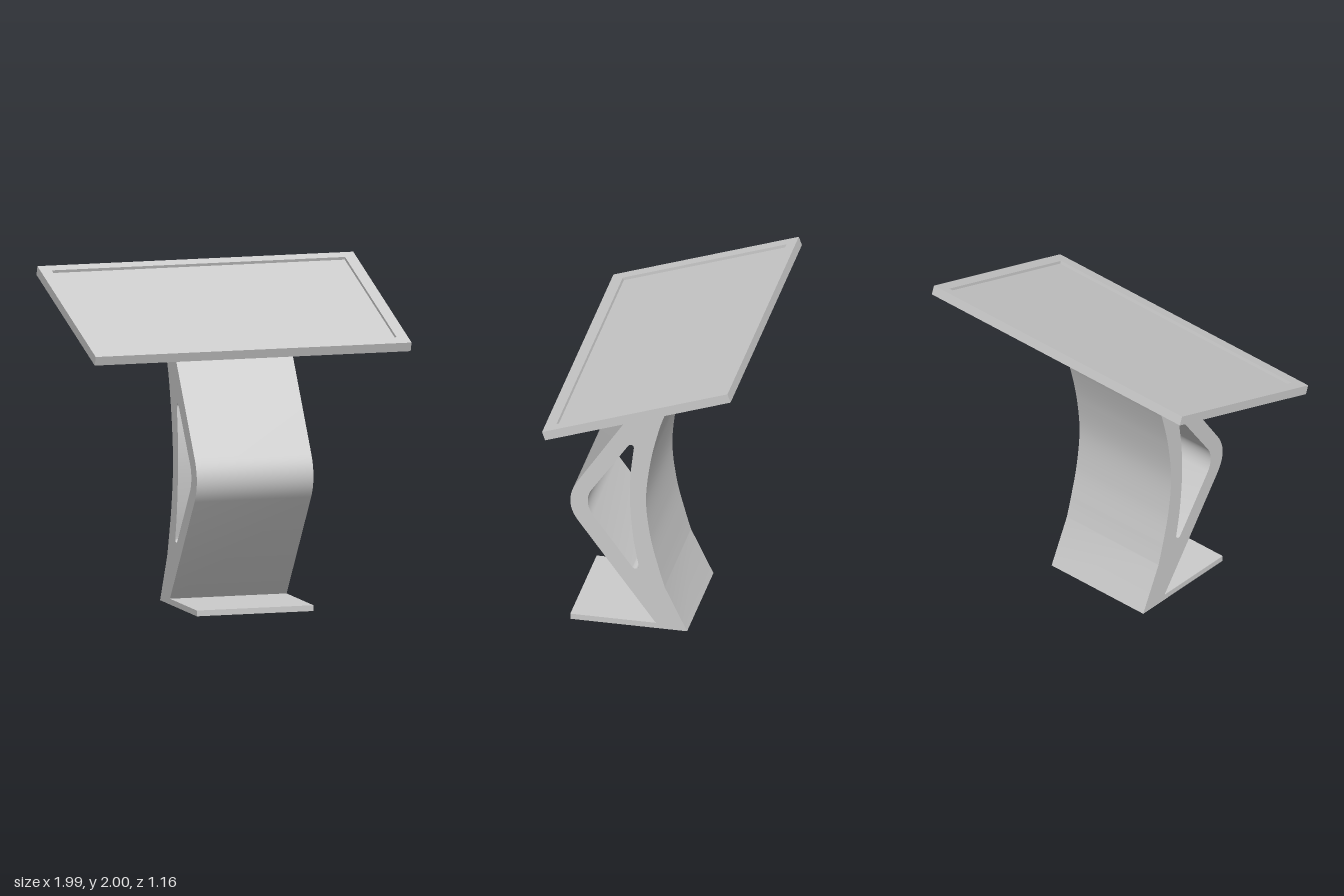
import * as THREE from 'three';
import { toCreasedNormals } from 'three/addons/utils/BufferGeometryUtils.js';

const material = new THREE.MeshStandardMaterial({ color: 0xcccccc });
const vecs = (points) => points.map(([a, b]) => new THREE.Vector2(a, b));

function addMesh(parent, name, geometry) {
  const mesh = new THREE.Mesh(geometry, material);
  mesh.name = name;
  parent.add(mesh);
  return mesh;
}

function rectangle(target, x0, y0, x1, y1) {
  target.moveTo(x0, y0);
  target.lineTo(x1, y0);
  target.lineTo(x1, y1);
  target.lineTo(x0, y1);
  target.closePath();
  return target;
}

// Side profile in (z, y): foot, bowed back and angled front with a rounded knee
function columnGeometry() {
  const profile = new THREE.Shape();
  profile.moveTo(0.545, 0);
  profile.lineTo(0.545, 0.035);
  profile.lineTo(0.02, 0.035);
  profile.lineTo(0.5, 0.685);
  profile.bezierCurveTo(0.56, 0.77, 0.56, 0.86, 0.5, 0.95);
  profile.lineTo(0.02, 1.675);
  profile.lineTo(-0.172, 1.742);
  profile.lineTo(-0.045, 1.49);
  profile.splineThru(vecs([[0, 1.36], [0.053, 1.13], [0.08, 0.87], [0.053, 0.62], [0, 0.405], [-0.035, 0.285]]));
  profile.lineTo(-0.172, 0);
  profile.closePath();

  // Opening through the column
  const opening = new THREE.Path();
  opening.moveTo(0.19, 1.228);
  opening.lineTo(0.415, 0.9);
  opening.bezierCurveTo(0.446, 0.85, 0.446, 0.79, 0.41, 0.735);
  opening.lineTo(0.165, 0.402);
  opening.bezierCurveTo(0.148, 0.383, 0.12, 0.392, 0.126, 0.42);
  opening.splineThru(vecs([[0.158, 0.6], [0.178, 0.83], [0.175, 1.03], [0.155, 1.215]]));
  opening.bezierCurveTo(0.153, 1.24, 0.178, 1.244, 0.19, 1.228);
  profile.holes.push(opening);

  const geometry = new THREE.ExtrudeGeometry(profile, { depth: 0.735, bevelEnabled: false, curveSegments: 10 });
  geometry.rotateY(-Math.PI / 2);
  geometry.translate(0.39, 0, 0);
  return toCreasedNormals(geometry, 0.4);
}

// Tapered block that narrows towards the column
function bracketGeometry() {
  const geometry = new THREE.BoxGeometry(1.08, 0.636, 0.061).toNonIndexed();
  const p = geometry.attributes.position;
  for (let i = 0; i < p.count; i++) {
    if (p.getZ(i) < 0) p.setXY(i, Math.sign(p.getX(i)) * 0.47, Math.sign(p.getY(i)) * 0.26);
  }
  geometry.computeVertexNormals();
  return geometry;
}

export function createModel() {
  const model = new THREE.Group();
  model.name = 'kiosk';
  addMesh(model, 'columnAndFoot', columnGeometry());

  // Tilted head: local y runs up the slope, local z is the screen normal
  const head = new THREE.Group();
  head.name = 'head';
  head.position.set(0, 1.8025, 0.016);
  head.rotation.x = THREE.MathUtils.degToRad(19.14 - 90);
  model.add(head);

  const thickness = 0.058, recess = 0.018;
  const outline = rectangle(new THREE.Shape(), -0.995, -0.6025, 0.995, 0.6025);
  outline.holes.push(rectangle(new THREE.Path(), -0.924, -0.525, 0.924, 0.539));
  const frame = addMesh(head, 'screenFrame',
    new THREE.ExtrudeGeometry(outline, { depth: thickness, bevelEnabled: false }));
  frame.position.z = -thickness;

  // Recessed screen panel, flush with the underside of the frame
  const panel = addMesh(head, 'screenPanel', new THREE.BoxGeometry(1.848, 1.064, thickness - recess));
  panel.position.set(0, 0.007, -(thickness + recess) / 2);

  const bracket = addMesh(head, 'mountingBracket', bracketGeometry());
  bracket.position.set(0.01, 0.009, -thickness - 0.0305);
  return model;
}
